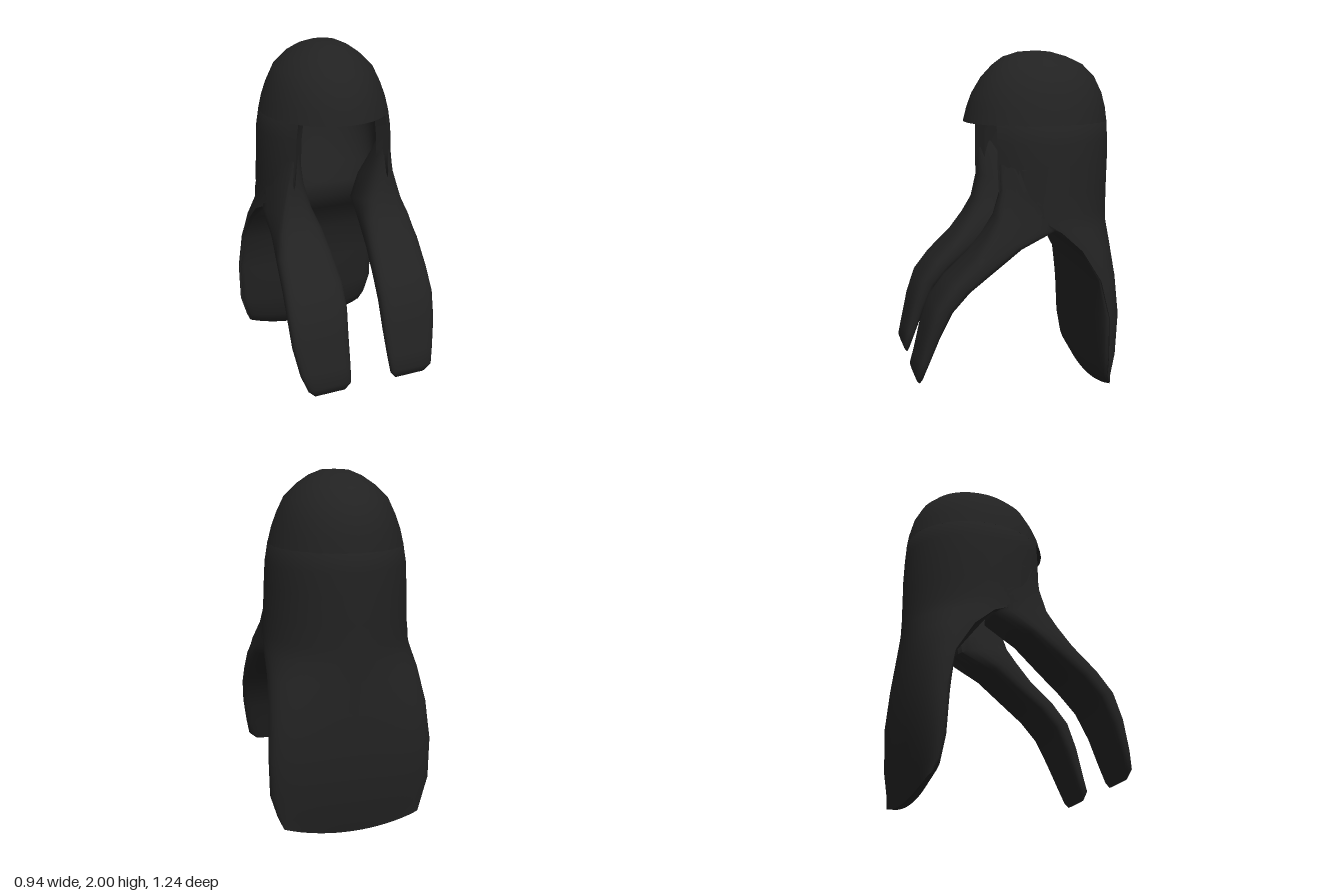
import * as THREE from 'three';
import { toCreasedNormals } from 'three/addons/utils/BufferGeometryUtils.js';

const hairBlack = new THREE.MeshStandardMaterial({ color: 0x222222 });
hairBlack.name = 'hairBlack';

const pow = (v, e) => Math.sign(v) * Math.pow(Math.abs(v), e);

// Skin closed loops of points, ordered from top to bottom; optionally close the last one.
function loft(name, loops, closeEnd) {
  const n = loops[0].length, index = [];
  for (let i = 0; i < loops.length - 1; i++) {
    for (let j = 0; j < n; j++) {
      const a = i * n + j, b = i * n + (j + 1) % n;
      index.push(a, b, b + n, a, b + n, a + n);
    }
  }
  if (closeEnd) {
    const o = (loops.length - 1) * n;
    for (let j = 0; j < n / 2 - 1; j++) {
      index.push(o + j, o + j + 1, o + n - 2 - j, o + j, o + n - 2 - j, o + n - 1 - j);
    }
  }
  const geo = new THREE.BufferGeometry();
  geo.setAttribute('position', new THREE.Float32BufferAttribute(loops.flat(2), 3));
  geo.setIndex(index);
  const mesh = new THREE.Mesh(toCreasedNormals(geo, 1.2), hairBlack);
  mesh.name = name;
  return mesh;
}

// Point on an oval; angle 0 is the back, +90 degrees is the +x side.
function oval(angle, y, w, zc, back, front, n = 2) {
  const c = Math.cos(angle);
  return [w * pow(Math.sin(angle), 2 / n), y, zc - (c > 0 ? back : front) * pow(c, 2 / n)];
}

// Domed crown with a fringe at the front, hollow underneath.
function crown() {
  const zc = -0.18, seg = 32;
  const rings = [ // y, half width, back z, front z
    [2.0, 0, zc, zc], [1.993, 0.08, -0.26, -0.07], [1.965, 0.145, -0.36, 0.02],
    [1.92, 0.21, -0.455, 0.08], [1.85, 0.283, -0.525, 0.145], [1.76, 0.325, -0.57, 0.2],
    [1.68, 0.355, -0.59, 0.23], [1.6, 0.375, -0.6, 0.25],
    [1.6, 0.305, -0.4, 0.12], [1.74, 0.26, -0.39, 0.07], [1.85, 0.17, -0.34, -0.02],
    [1.9, 0, zc, zc],
  ];
  return loft('crown', rings.map(([y, w, zb, zf]) => Array.from({ length: seg }, (_, j) =>
    oval(j / seg * Math.PI * 2, y, w, zc, zc - zb, zf - zc))), false);
}

// Sides and thick long back: an open C in section that becomes a lens towards the hem.
function backHair() {
  const seg = 32;
  const levels = [ // y, half width, centre z, back z, inner wall z, end angle, squareness, side thickness, hem lift
    [1.64, 0.345, -0.18, -0.57, -0.41, 135, 2, 0.05, 0], [1.6, 0.375, -0.18, -0.6, -0.4, 135, 2, 0.07, 0],
    [1.5, 0.393, -0.18, -0.605, -0.38, 135, 2, 0.07, 0], [1.38, 0.4, -0.18, -0.607, -0.35, 135, 2, 0.07, 0],
    [1.22, 0.408, -0.18, -0.603, -0.29, 134, 2, 0.07, 0], [1.1, 0.418, -0.18, -0.6, -0.24, 112, 2, 0.07, 0],
    [1.01, 0.425, -0.21, -0.6, -0.22, 90, 2, 0.04, 0], [0.9, 0.435, -0.33, -0.603, -0.32, 90, 2.2, 0.03, 0],
    [0.72, 0.455, -0.44, -0.612, -0.41, 90, 2.3, 0.02, 0], [0.5, 0.472, -0.49, -0.62, -0.42, 90, 2.3, 0.01, 0],
    [0.25, 0.468, -0.495, -0.6, -0.44, 90, 2.3, 0.01, 0.01], [0.09, 0.43, -0.505, -0.572, -0.462, 90, 2.3, 0.01, 0.04],
    [0.0, 0.4, -0.53, -0.552, -0.51, 90, 2.3, 0.01, 0.062],
  ];
  return loft('backHair', levels.map(([y, w, zc, zb, zi, end, n, t, lift]) => {
    const outer = [], inner = [];
    for (let j = 0; j <= seg; j++) {
      const a = (j / seg * 2 - 1) * end * Math.PI / 180;
      const o = oval(a, y, w, zc, zc - zb, 0.43, n);
      const p = oval(a, y, w - t, zc, zc - zi, 0.36, n);
      o[1] = p[1] = y + lift * (o[0] / w) ** 2;
      outer.push(o);
      inner.unshift(p);
    }
    return outer.concat(inner);
  }), true);
}

// Long front lock: each station runs from an under edge to an upper edge.
const lockPath = [ // upper z, y, lower z, y, how far the outside follows the side of the head
  [0.105, 1.5, 0.06, 1.5, 1], [0.115, 1.38, -0.04, 1.36, 1], [0.112, 1.25, -0.2, 1.15, 0.75],
  [0.145, 1.1, -0.2, 1.01, 0.4], [0.2, 1.0, 0.0, 0.92, 0.15], [0.28, 0.89, 0.16, 0.8, 0],
  [0.42, 0.75, 0.3, 0.69, 0], [0.51, 0.63, 0.4, 0.58, 0], [0.56, 0.48, 0.475, 0.43, 0],
  [0.6, 0.31, 0.535, 0.28, 0], [0.625, 0.22, 0.572, 0.185, 0], [0.607, 0.17, 0.585, 0.153, 0],
];
const lockWidths = { // distance of the inner and outer edge from the middle
  rightLock: [[0.265, 0.285], [0.235, 0.4], [0.205, 0.41], [0.165, 0.42], [0.135, 0.43], [0.115, 0.44],
    [0.105, 0.455], [0.115, 0.465], [0.13, 0.462], [0.137, 0.435], [0.145, 0.4], [0.18, 0.36]],
  leftLock: [[0.265, 0.285], [0.24, 0.4], [0.205, 0.415], [0.15, 0.432], [0.13, 0.44], [0.12, 0.438],
    [0.1, 0.43], [0.09, 0.425], [0.09, 0.412], [0.1, 0.385], [0.108, 0.365], [0.14, 0.32]],
};
function lock(name, side) {
  const seg = 24;
  return loft(name, lockPath.map(([uz, uy, lz, ly, hug], i) => {
    const [near, far] = lockWidths[name][i];
    return Array.from({ length: seg }, (_, j) => {
      const a = (j + 0.5) / seg * Math.PI * 2 - Math.PI / 2;
      const v = 0.5 - 0.5 * pow(Math.cos(a), 0.7);
      const z = lz + (uz - lz) * v;
      const head = 0.4 * Math.sqrt(Math.max(0, 1 - (Math.max(0, z + 0.18) / 0.43) ** 2));
      const x = (near + far) / 2 + side * (far - near) / 2 * pow(Math.sin(a), 0.6);
      return [side * Math.min(x, far + (head - far) * hug), ly + (uy - ly) * v, z];
    });
  }), true);
}

export function createModel() {
  const hair = new THREE.Group();
  hair.name = 'longHair';
  hair.add(crown(), backHair(), lock('leftLock', 1), lock('rightLock', -1));
  return hair;
}
